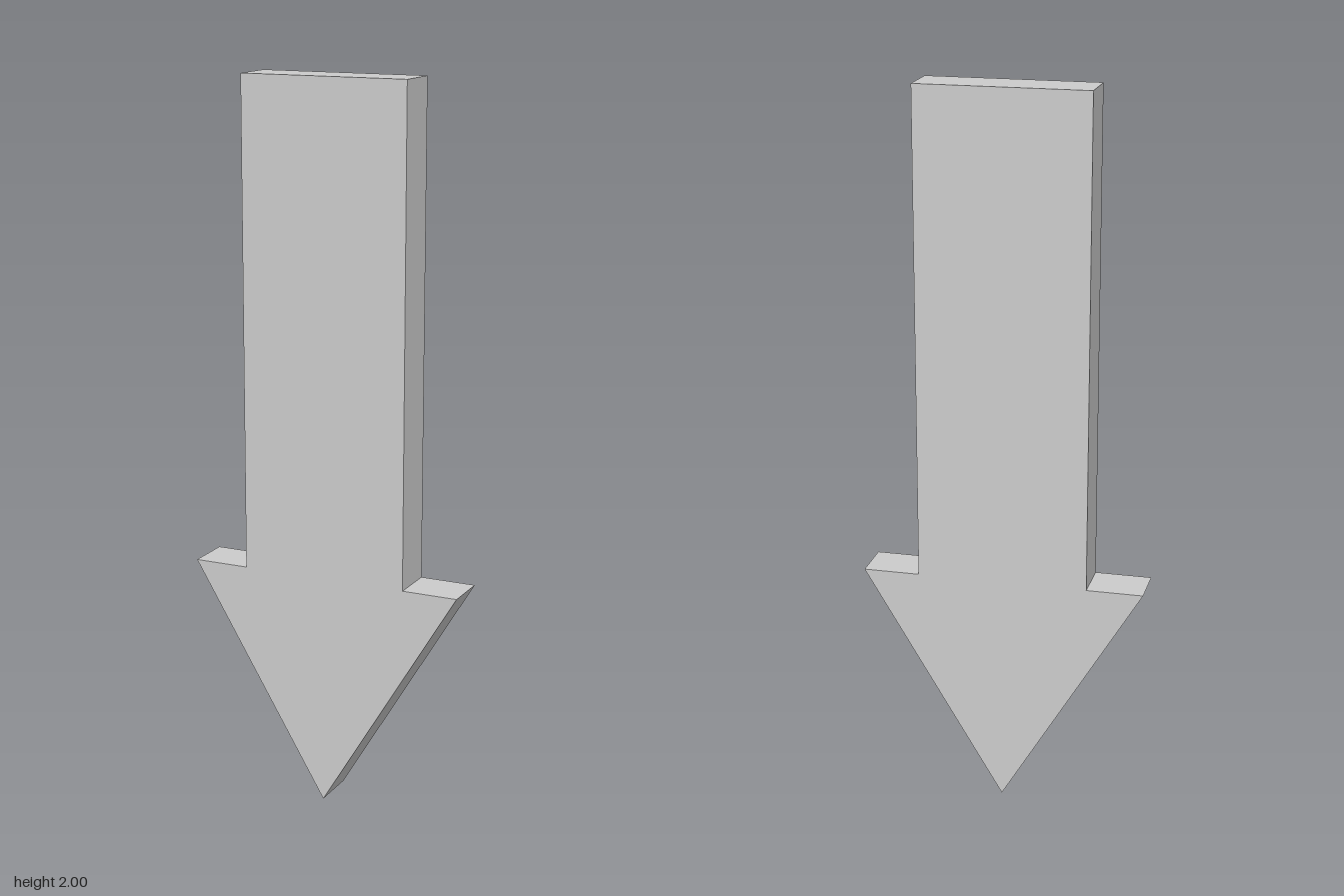
import * as THREE from 'three';

export function createModel() {
  const shaftHalf = 0.236, headHalf = 0.392, headTop = 0.65, height = 2, depth = 0.13;

  // Right half of the outline, from tip to top; the left half is its mirror.
  const half = [[headHalf, headTop], [shaftHalf, headTop], [shaftHalf, height]];
  const mirrored = half.map(([x, y]) => [-x, y]).reverse();
  const outline = [[0, 0], ...half, ...mirrored].map(([x, y]) => new THREE.Vector2(x, y));

  // Flat slab extruded along z and centred
  const geometry = new THREE.ExtrudeGeometry(new THREE.Shape(outline), { depth, bevelEnabled: false });
  geometry.translate(0, 0, -depth / 2);

  const arrow = new THREE.Mesh(
    geometry,
    new THREE.MeshStandardMaterial({ color: 0xcccccc, flatShading: true })
  );
  arrow.name = 'downArrow';

  const group = new THREE.Group();
  group.name = 'arrow';
  group.add(arrow);
  return group;
}
